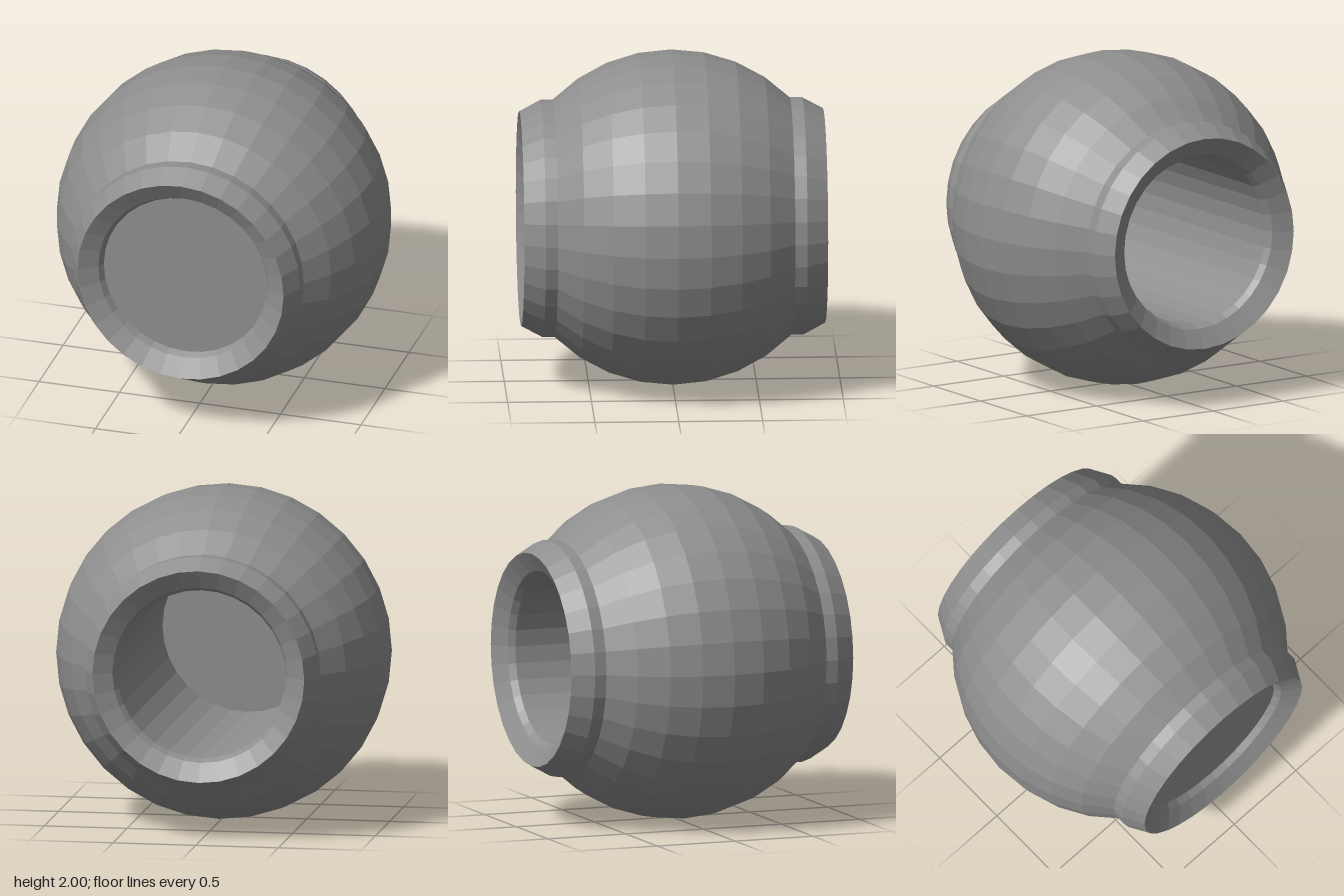
import * as THREE from 'three';

const SIDES = 32;
const COLOR = 0x8e8e8e;

// Surface of revolution around the z axis; points are [radius, z]
function turned(name, points, material) {
  const geometry = new THREE.LatheGeometry(points.map(([r, z]) => new THREE.Vector2(r, z)), SIDES);
  geometry.rotateX(Math.PI / 2);
  const mesh = new THREE.Mesh(geometry, material);
  mesh.name = name;
  return mesh;
}

export function createModel() {
  const bead = new THREE.Group();
  bead.name = 'bead';
  const material = new THREE.MeshStandardMaterial({ color: COLOR, flatShading: true });
  const thin = new THREE.MeshStandardMaterial({ color: COLOR, flatShading: true, side: THREE.DoubleSide });

  // Round body: sphere zone between the two collars
  const zone = [];
  for (let i = -4; i <= 4; i++) {
    const a = (i * Math.PI * 2) / SIDES;
    zone.push([Math.cos(a), Math.sin(a)]);
  }
  bead.add(turned('body', zone, material));

  // Collars with a bevelled outside and a funnel-shaped lip
  const neck = Math.SQRT1_2;
  const collar = [[neck, neck], [neck, 0.78], [0.64, 0.905], [0.53, 0.84], [0.508, 0.8]];
  const front = turned('frontCollar', collar, material);
  const back = turned('backCollar', collar, material);
  back.rotation.y = Math.PI;
  bead.add(front, back);

  // Bore, seen from the inside
  bead.add(turned('bore', [[0.508, 0.8], [0.508, -0.8]], material));

  // Disc closing the front of the bore
  const disc = new THREE.Mesh(new THREE.CircleGeometry(0.508, SIDES), thin);
  disc.name = 'frontDisc';
  disc.position.z = 0.8;
  bead.add(disc);

  bead.position.y = 1;
  const model = new THREE.Group();
  model.name = 'model';
  model.add(bead);
  return model;
}
